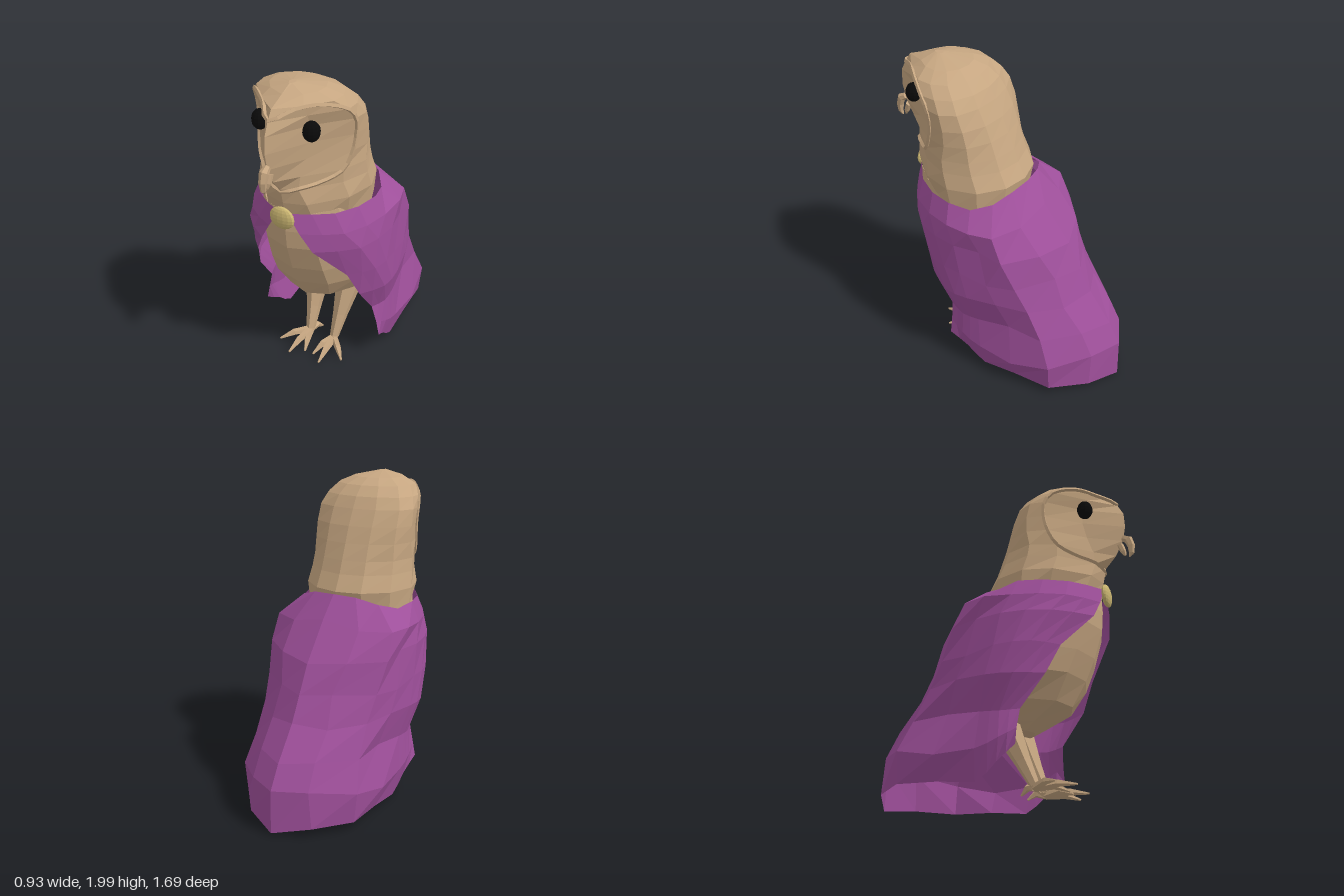
import * as THREE from 'three';

const V = (x, y, z) => new THREE.Vector3(x, y, z);

const feather = new THREE.MeshStandardMaterial({ color: 0xc6a681 });
const cloth = new THREE.MeshStandardMaterial({ color: 0x9e4f9a, side: THREE.DoubleSide });
const gold = new THREE.MeshStandardMaterial({ color: 0xcdb873 });
const black = new THREE.MeshStandardMaterial({ color: 0x0a0a0a });

// Faceted skin over a list of rings; closed rings also get end caps
function loft(rings, closed = true) {
  const pos = [];
  const tri = (...p) => p.forEach(v => pos.push(v.x, v.y, v.z));
  const n = rings[0].length;
  for (let i = 0; i < rings.length - 1; i++) {
    for (let j = 0; j < (closed ? n : n - 1); j++) {
      const k = (j + 1) % n, lo = rings[i], up = rings[i + 1];
      tri(lo[j], lo[k], up[k]);
      tri(lo[j], up[k], up[j]);
    }
  }
  if (closed) {
    const lo = rings[0], up = rings[rings.length - 1];
    const mid = r => r.reduce((s, p) => s.add(p), V(0, 0, 0)).divideScalar(n);
    const a = mid(lo), b = mid(up);
    for (let j = 0; j < n; j++) {
      const k = (j + 1) % n;
      tri(a, lo[k], lo[j]);
      tri(b, up[j], up[k]);
    }
  }
  const g = new THREE.BufferGeometry();
  g.setAttribute('position', new THREE.Float32BufferAttribute(pos, 3));
  g.computeVertexNormals();
  return g;
}

// Tapered limb through points; each radius is a number or [sideways, thickness]
function limb(points, radii, sides = 6) {
  return loft(points.map((p, i) => {
    const d = points[Math.min(i + 1, points.length - 1)].clone()
      .sub(points[Math.max(i - 1, 0)]).normalize();
    const u = V(1, 0, 0).addScaledVector(d, -d.x).normalize();
    const v = u.clone().cross(d);
    const [ru, rv] = [radii[i]].flat().length > 1 ? radii[i] : [radii[i], radii[i]];
    return Array.from({ length: sides }, (_, j) => {
      const a = j / sides * Math.PI * 2;
      return p.clone().addScaledVector(u, Math.sin(a) * ru).addScaledVector(v, Math.cos(a) * rv);
    });
  }));
}

// Full ring from a half that runs from front centre to back centre
const mirrorRing = half =>
  [...half, ...half.slice(1, -1).reverse().map(p => V(-p.x, p.y, p.z))];

export function createModel() {
  const model = new THREE.Group();
  const add = (name, geometry, material, parent = model) => {
    const mesh = new THREE.Mesh(geometry, material);
    mesh.name = name;
    parent.add(mesh);
    return mesh;
  };
  const ball = (name, material, p, r, w = 12, h = 10) => {
    const g = new THREE.SphereGeometry(1, w, h).toNonIndexed();
    g.scale(...r);
    g.computeVertexNormals();
    const mesh = add(name, g, material);
    mesh.position.copy(p);
    return mesh;
  };

  // Head: height, front z, face hollow x z, face edge x z, half width, back z
  const headRows = [
    [1.18, 0.60, 0.15, 0.54, 0.27, 0.36, 0.34, -0.08],
    [1.32, 0.63, 0.13, 0.59, 0.30, 0.40, 0.352, -0.11],
    [1.42, 0.65, 0.09, 0.61, 0.27, 0.42, 0.34, -0.06],
    [1.50, 0.72, 0.10, 0.60, 0.27, 0.42, 0.333, -0.03],
    [1.60, 0.77, 0.12, 0.57, 0.30, 0.37, 0.33, 0.01],
    [1.70, 0.79, 0.14, 0.55, 0.31, 0.35, 0.333, 0.05],
    [1.80, 0.785, 0.14, 0.55, 0.315, 0.36, 0.33, 0.10],
    [1.87, 0.75, 0.14, 0.58, 0.295, 0.41, 0.30, 0.14],
    [1.93, 0.71, 0.13, 0.60, 0.24, 0.47, 0.25, 0.20],
    [1.97, 0.60, 0.10, 0.55, 0.15, 0.48, 0.16, 0.28],
    [2.00, 0.52, 0.01, 0.51, 0.015, 0.50, 0.02, 0.46],
  ];
  add('head', loft(headRows.map(([y, zf, xm, zm, xe, ze, w, zb]) => {
    const z = t => ze + (zb - ze) * t;
    return mirrorRing([V(0, y, zf), V(xm, y, zm), V(xe, y, ze), V(w, y, z(0.35)),
      V(w * 0.85, y, z(0.7)), V(w * 0.45, y, z(0.93)), V(0, y, zb)]);
  })), feather);

  // Raised rim round the heart-shaped face
  const edge = headRows.slice(3, 8).map(r => V(r[4], r[0], r[5]));
  const halfRim = [V(0.09, 1.425, 0.61), V(0.19, 1.45, 0.51), ...edge, V(0.2, 1.925, 0.53), V(0.1, 1.92, 0.63)];
  const rim = new THREE.CatmullRomCurve3([V(0, 1.4, 0.64), ...halfRim, V(0, 1.88, 0.745),
    ...halfRim.slice().reverse().map(p => V(-p.x, p.y, p.z))], true);
  const rimGeometry = new THREE.TubeGeometry(rim, 48, 0.013, 4, true).toNonIndexed();
  rimGeometry.computeVertexNormals();
  add('faceRim', rimGeometry, feather);

  // Hooked beak
  add('upperBeak', limb([V(0, 1.62, 0.77), V(0, 1.6, 0.805), V(0, 1.55, 0.822), V(0, 1.5, 0.82), V(0, 1.475, 0.805)],
    [0.02, 0.028, 0.024, 0.017, 0.004]), feather);
  add('lowerBeak', limb([V(0, 1.57, 0.75), V(0, 1.52, 0.77), V(0, 1.49, 0.78)], [0.022, 0.018, 0.006]), feather);

  // Body: height, front z, back z, half width
  add('body', loft([
    [0.40, 0.16, -0.30, 0.13], [0.44, 0.23, -0.36, 0.19], [0.53, 0.40, -0.40, 0.28],
    [0.68, 0.49, -0.34, 0.355], [0.82, 0.55, -0.28, 0.35], [1.0, 0.605, -0.2, 0.33],
    [1.12, 0.615, -0.14, 0.31], [1.25, 0.61, -0.08, 0.29],
  ].map(([y, zf, zb, w]) => Array.from({ length: 12 }, (_, j) => {
    const a = j / 12 * Math.PI * 2;
    return V(Math.sin(a) * w, y, (zf + zb) / 2 + Math.cos(a) * (zf - zb) / 2);
  }))), feather);

  // Tail under the cape
  add('tail', limb([V(0, 0.58, -0.2), V(0, 0.44, -0.38), V(0, 0.28, -0.58)],
    [[0.26, 0.1], [0.22, 0.07], [0.15, 0.03]], 8), feather);

  // Legs and clawed feet
  for (const s of [1, -1]) {
    const leg = new THREE.Group();
    leg.name = s > 0 ? 'leftLeg' : 'rightLeg';
    model.add(leg);
    add('shank', limb([V(s * 0.12, 0.5, -0.02), V(s * 0.115, 0.4, 0.03), V(s * 0.1, 0.2, 0.12), V(s * 0.09, 0.05, 0.19)],
      [0.1, 0.085, 0.05, 0.03]), feather, leg);
    for (const [x, y, z] of [[0.03, 0.015, 0.38], [0.11, 0.03, 0.45], [0.23, 0.03, 0.36], [0.05, 0.012, 0.09]]) {
      const root = V(s * 0.09, 0.04, 0.19), tip = V(s * x, y, z);
      const knuckle = root.clone().lerp(tip, 0.55).setY(0.05);
      add('toe', limb([root, knuckle, tip], [0.026, 0.022, 0.006], 5), feather, leg);
    }
    const eye = ball(s > 0 ? 'leftEye' : 'rightEye', black, V(s * 0.16, 1.78, 0.575), [0.05, 0.06, 0.048]);
    eye.rotation.y = s * 0.7;
  }

  // Cape: lines running from collar to hem, from front edge round to the back
  const front = [[0.03, 1.26, 0.635], [0.1, 1.14, 0.63], [0.17, 1.02, 0.605], [0.31, 0.8, 0.44],
    [0.355, 0.62, 0.36], [0.37, 0.42, 0.21], [0.4, 0.3, 0.2], [0.42, 0.2, 0.2]];
  const shoulder = [[0.25, 1.24, 0.48], [0.31, 1.12, 0.48], [0.38, 1.0, 0.41], [0.43, 0.8, 0.3],
    [0.45, 0.61, 0.2], [0.41, 0.41, 0.1], [0.425, 0.25, 0.1], [0.4, 0.12, 0.08]];
  const side = [[0.37, 1.24, 0.2], [0.43, 1.12, 0.18], [0.45, 1.0, 0.12], [0.455, 0.8, 0.08],
    [0.46, 0.62, 0.03], [0.41, 0.42, -0.02], [0.43, 0.2, -0.04], [0.39, 0.02, -0.05]];
  const rear = [[0.27, 1.26, -0.05], [0.41, 1.13, -0.13], [0.42, 0.97, -0.2], [0.39, 0.78, -0.28],
    [0.37, 0.62, -0.36], [0.375, 0.43, -0.46], [0.41, 0.25, -0.54], [0.39, 0.06, -0.54]];
  const back = [[0, 1.31, -0.13], [0, 1.18, -0.25], [0, 0.95, -0.43], [0, 0.78, -0.52],
    [0, 0.63, -0.6], [0, 0.43, -0.75], [0, 0.29, -0.83], [0, 0.02, -0.84]];
  const capeRows = back.map((_, i) => {
    const half = [front, shoulder, side, rear].map(line => V(...line[i]));
    const row = new THREE.CatmullRomCurve3([...half, V(...back[i]),
      ...half.slice().reverse().map(p => V(-p.x, p.y, p.z))]).getPoints(16);
    // Soft folds pressed in behind the wings
    for (const j of [5, 7, 9, 11]) {
      const depth = i < 2 ? 0 : 0.018 * (1 + Math.sin(i * 2.3 + Math.abs(j - 8)));
      row[j].x -= Math.sign(row[j].x) * depth;
      row[j].y += i < 7 ? 0.025 * Math.cos(i * 2.1 + Math.abs(j - 8)) : 0.02;
    }
    return row;
  }).reverse();
  add('cape', loft(capeRows, false), cloth);

  // Clasp at the throat
  ball('clasp', gold, V(0, 1.23, 0.645), [0.08, 0.072, 0.027], 14, 10);

  return model;
}
